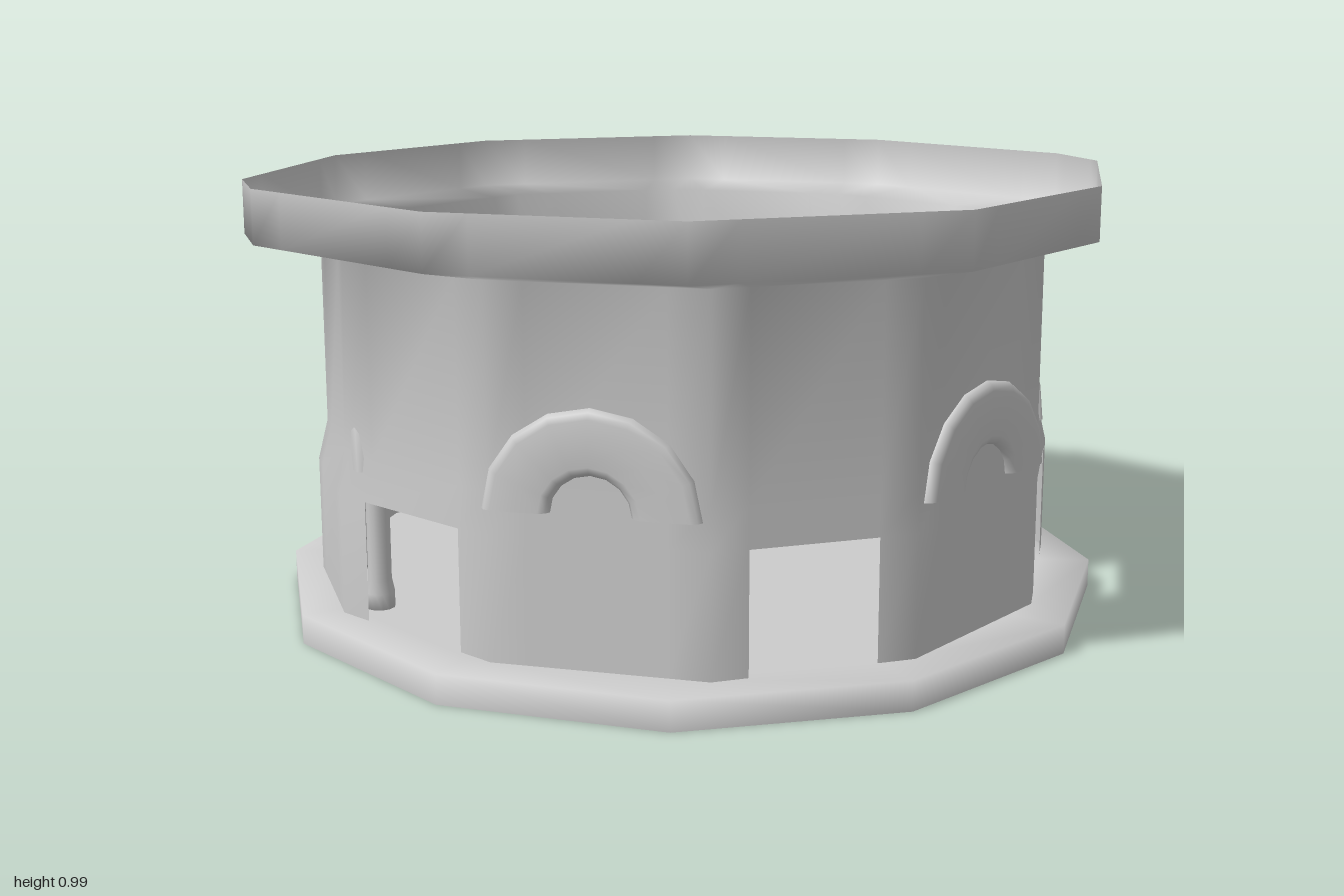
import * as THREE from 'three';

const grey = new THREE.MeshStandardMaterial({ color: 0xcccccc });
const thin = new THREE.MeshStandardMaterial({ color: 0xcccccc, side: THREE.DoubleSide });

// Twelve corners from the three in the +x +z quarter, going from front to left.
function ringOf(quarter) {
  const back = [...quarter].reverse();
  return [
    ...quarter,
    ...back.map(([x, z]) => [x, -z]),
    ...quarter.map(([x, z]) => [-x, -z]),
    ...back.map(([x, z]) => [-x, z]),
  ];
}

// Three columns per panel: its corner and the two sides of a possible doorway.
function columnsOf(corners) {
  return corners.flatMap(([x, z], i) => {
    const [nx, nz] = corners[(i + 1) % corners.length];
    return [0, 0.18, 0.81].map((t) => [x + (nx - x) * t, z + (nz - z) * t]);
  });
}

// Skin over stacked closed rings, leaving out the cells for which skip() holds.
function loft(rings, skip) {
  const n = rings[0].points.length;
  const position = [];
  const index = [];
  for (const { y, points } of rings) for (const [x, z] of points) position.push(x, y, z);
  for (let j = 0; j < rings.length - 1; j++) {
    for (let i = 0; i < n; i++) {
      if (skip(i, j)) continue;
      const a = j * n + i;
      const b = j * n + ((i + 1) % n);
      index.push(a, b, b + n, a, b + n, a + n);
    }
  }
  const geometry = new THREE.BufferGeometry();
  geometry.setAttribute('position', new THREE.Float32BufferAttribute(position, 3));
  geometry.setIndex(index);
  geometry.computeVertexNormals();
  return geometry;
}

function add(parent, name, geometry, material = grey) {
  const mesh = new THREE.Mesh(geometry, material);
  mesh.name = name;
  parent.add(mesh);
  return mesh;
}

const profileOf = (pairs) => pairs.map(([r, y]) => new THREE.Vector2(r, y));

// Rounded-square outline of the arch section: [across, depth] at an angle
function section(angle) {
  const square = (v) => Math.sign(v) * Math.abs(v) ** 0.4;
  return [0.074 * square(Math.cos(angle)), 0.057 * square(Math.sin(angle))];
}

// Half hoop: the section swept over a half circle
function hoopGeometry() {
  const geometry = new THREE.TorusGeometry(1, 0.5, 16, 8, Math.PI);
  const position = geometry.attributes.position;
  const { radialSegments, tubularSegments } = geometry.parameters;
  for (let j = 0, k = 0; j <= radialSegments; j++) {
    const [across, depth] = section((j / radialSegments) * Math.PI * 2);
    for (let i = 0; i <= tubularSegments; i++, k++) {
      const turn = (i / tubularSegments) * Math.PI;
      const r = 0.156 + across;
      position.setXYZ(k, r * Math.cos(turn), 0.95 * r * Math.sin(turn), depth);
    }
  }
  geometry.computeVertexNormals();
  return geometry;
}

function footGeometry() {
  const outline = Array.from({ length: 16 }, (_, i) => new THREE.Vector2(...section((i / 16) * Math.PI * 2)));
  return new THREE.ShapeGeometry(new THREE.Shape(outline)).rotateX(Math.PI / 2);
}

// Arch on two slim columns, in its own xy plane; the columns pierce the floor
function makeArch() {
  const arch = new THREE.Group();
  arch.name = 'arch';
  add(arch, 'archHoop', hoopGeometry()).position.y = 0.39;
  const profile = profileOf([[0, 0.06], [0.032, 0.06], [0.032, 0.1], [0.026, 0.13], [0.026, 0.32], [0.032, 0.37], [0.032, 0.395]]);
  for (const side of [-1, 1]) {
    add(arch, 'archFoot', footGeometry()).position.set(side * 0.156, 0.39, 0);
    add(arch, 'column', new THREE.LatheGeometry(profile, 12)).position.x = side * 0.156;
  }
  return arch;
}

export function createModel() {
  const model = new THREE.Group();
  model.name = 'roundHall';

  // Thin twelve-sided floor with a low skirt, open below, turned a little against the wall
  const pan = profileOf([[0.952, 0], [0.952, 0.065], [0.84, 0.065], [0, 0.065]]);
  add(model, 'floor', new THREE.LatheGeometry(pan, 12, THREE.MathUtils.degToRad(10)), thin);

  // Thin wall with a doorway in every second panel, spread at the foot of the side
  // panels, running over a shallow ledge into a wide upright rim
  const corners = ringOf([[0.22, 0.825], [0.61, 0.58], [0.825, 0.175]]);
  const upper = columnsOf(corners);
  const lower = columnsOf(ringOf([[0.22, 0.825], [0.61, 0.58], [0.848, 0.175]]));
  const rim = columnsOf(ringOf([[0.29, 0.895], [0.73, 0.6], [1, 0.1]]));
  const isDoor = (i, j) => j === 0 && i % 6 === 4;
  add(model, 'wallAndRim', loft([
    { y: 0.065, points: lower },
    { y: 0.33, points: lower },
    { y: 0.42, points: upper },
    { y: 0.85, points: upper },
    { y: 0.87, points: rim },
    { y: 0.99, points: rim },
  ], isDoor), thin);

  // One arch per closed panel: how far in from the wall, and where along the panel
  const places = [[0.038, 0.53], [0.06, 0.5], [0.066, 0.47], [0.043, 0.53], [0.06, 0.5], [0.038, 0.47]];
  places.forEach(([inset, t], k) => {
    const [ax, az] = corners[2 * k];
    const [bx, bz] = corners[2 * k + 1];
    const angle = Math.atan2(az - bz, bx - ax);
    const arch = makeArch();
    arch.rotation.y = angle;
    arch.position.set(
      ax + (bx - ax) * t - Math.sin(angle) * inset,
      0,
      az + (bz - az) * t - Math.cos(angle) * inset,
    );
    model.add(arch);
  });

  return model;
}
